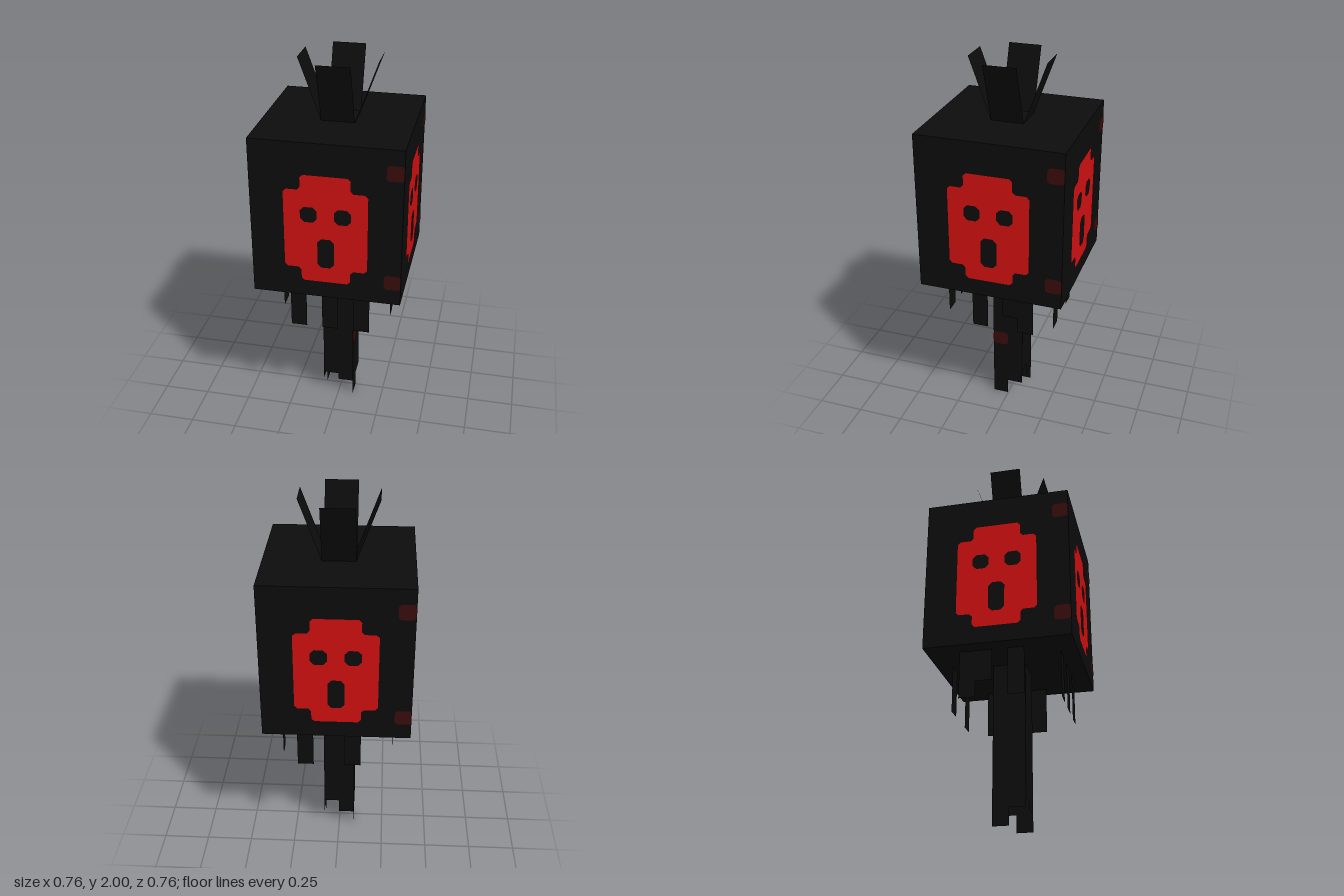
import * as THREE from 'three';

const flat = (name, color, side = THREE.FrontSide) => {
  const m = new THREE.MeshStandardMaterial({ color, side });
  m.name = name;
  return m;
};

const HALF = 0.38, BOTTOM = 0.845, TOP = 1.685;

// Closed outline with every corner cut by c
function chamfered(points, c, Type = THREE.Shape) {
  const v = points.map(([x, y]) => new THREE.Vector2(x, y));
  const out = [];
  v.forEach((p, i) => {
    for (const q of [v[(i + v.length - 1) % v.length], v[(i + 1) % v.length]]) {
      out.push(p.clone().add(q.clone().sub(p).setLength(c)));
    }
  });
  return new Type(out);
}

const rect = (x0, x1, y0, y1) => [[x0, y0], [x1, y0], [x1, y1], [x0, y1]];

export function createModel() {
  const black = flat('black', 0x0c0c0c, THREE.DoubleSide);
  const red = flat('red', 0xd01010);
  const darkRed = flat('dark red', 0x3a0c0c);
  const model = new THREE.Group();

  const add = (parent, name, geometry, material) => {
    const mesh = new THREE.Mesh(geometry, material);
    mesh.name = name;
    parent.add(mesh);
    return mesh;
  };
  // Upright sheet facing +z
  const sheet = (parent, name, x0, x1, y0, y1, z, material = black) => {
    const mesh = add(parent, name, new THREE.PlaneGeometry(x1 - x0, y1 - y0), material);
    mesh.position.set((x0 + x1) / 2, (y0 + y1) / 2, z);
  };

  // Body block
  add(model, 'body', new THREE.BoxGeometry(2 * HALF, TOP - BOTTOM, 2 * HALF), black)
    .position.y = (TOP + BOTTOM) / 2;

  // Mask outline with eye and mouth openings
  const mask = chamfered([
    [-0.125, 0.935], [0.125, 0.935], [0.125, 1.01], [0.21, 1.01], [0.21, 1.44], [0.125, 1.44],
    [0.125, 1.52], [-0.125, 1.52], [-0.125, 1.44], [-0.21, 1.44], [-0.21, 1.01], [-0.125, 1.01],
  ], 0.015);
  for (const hole of [rect(-0.127, -0.043, 1.268, 1.35), rect(0.043, 0.127, 1.268, 1.35),
    rect(-0.042, 0.042, 1.018, 1.18)]) {
    mask.holes.push(chamfered(hole, 0.02, THREE.Path));
  }
  const maskGeometry = new THREE.ShapeGeometry(mask);
  const spot = (x0, x1, y0, y1) => new THREE.ShapeGeometry(chamfered(rect(x0, x1, y0, y1), 0.012));

  // Per side, in local x: fringe strands [x0, x1, bottom] and rod half ends [left, right]
  const sideStrands = [[-0.125, -0.04, 0.595], [0.125, 0.21, 0.595], [0.04, 0.125, 0.68]];
  const sides = [
    { name: 'front', strands: [[-0.21, -0.125, 0.595], [-0.042, 0.042, 0.595], [0.125, 0.21, 0.595]], rod: [0.13, 0.09] },
    { name: 'left', strands: sideStrands, rod: [0, 0.09] },
    { name: 'back', strands: [[0.04, 0.125, 0.595], [-0.21, -0.125, 0.595]], rod: [0.17, 0.09] },
    {
      name: 'right',
      strands: sideStrands.map(([a, b, y]) => [-b, -a, y]),
      rod: [0, 0.09],
    },
  ];

  sides.forEach(({ name, strands, rod }, i) => {
    const side = new THREE.Group();
    side.name = name + 'Side';
    side.rotation.y = i * Math.PI / 2;
    model.add(side);

    // Face and corner spots
    add(side, 'mask', maskGeometry, red).position.z = HALF + 0.002;
    for (const y of [0.93, 1.525]) {
      add(side, 'cornerSpot', spot(0.295, HALF, y, y + 0.08), darkRed).position.z = HALF + 0.002;
    }

    // Fringe strands and the ragged wall of the hollow rod
    strands.forEach(([x0, x1, y]) => sheet(side, 'fringeStrand', x0, x1, y, BOTTOM, 0.295));
    sheet(side, 'rodWall', -0.085, 0, rod[0], BOTTOM, 0.085);
    sheet(side, 'rodWall', 0, 0.085, rod[1], BOTTOM, 0.085);
    if (name === 'left') {
      add(side, 'rodSpot', spot(-0.085, 0, 0.34, 0.42), darkRed).position.z = 0.087;
    }

    // Top leaf leaning outward
    const leaf = new THREE.PlaneGeometry(0.17, 2 - TOP);
    const p = leaf.attributes.position;
    for (let k = 0; k < p.count; k++) p.setZ(k, p.getY(k) > 0 ? 0.2 : 0.085);
    leaf.computeVertexNormals();
    add(side, 'topLeaf', leaf, black).position.y = (TOP + 2) / 2;
  });

  return model;
}
